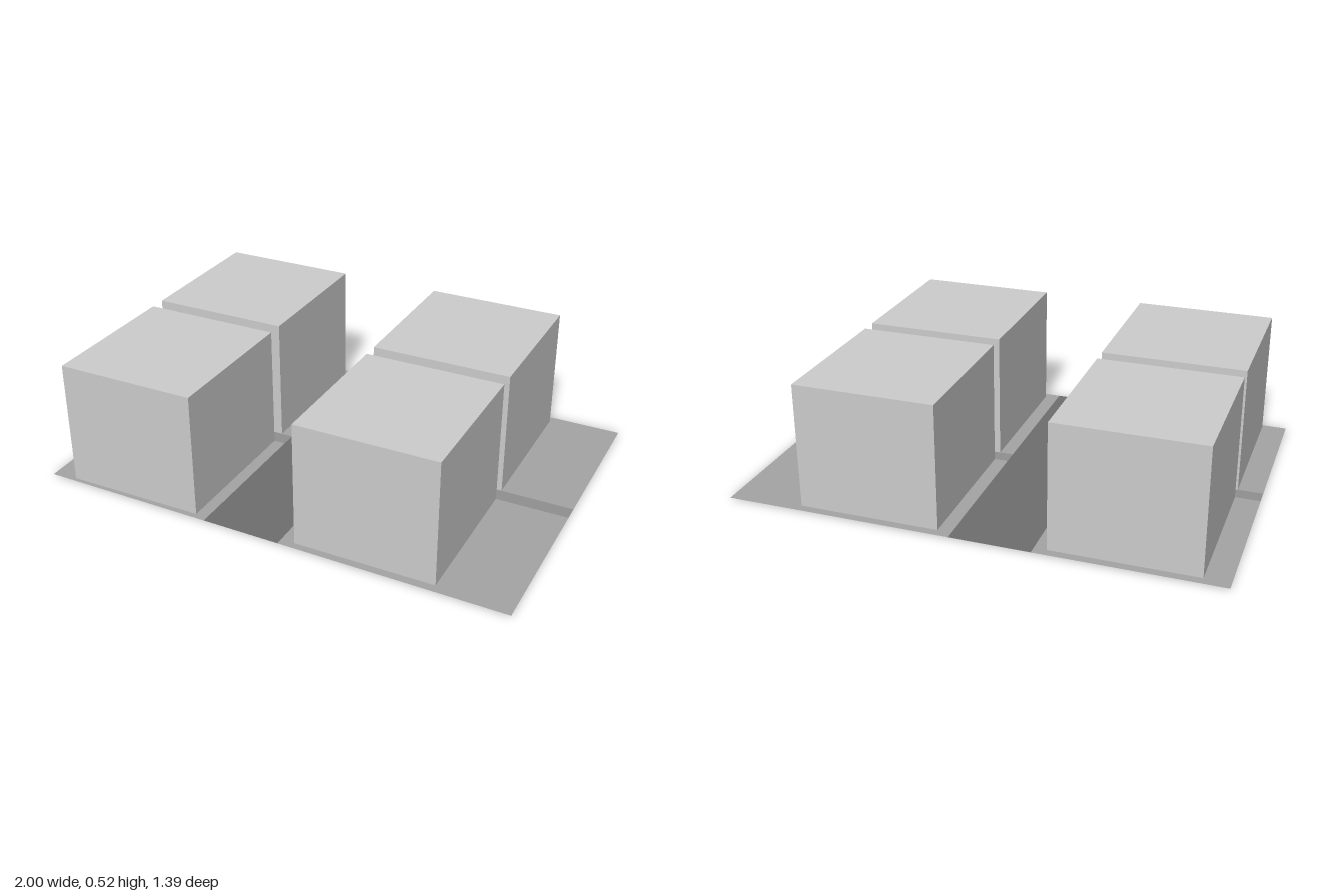
import * as THREE from 'three';

const mat = (color) => new THREE.MeshStandardMaterial({ color, side: THREE.DoubleSide });

// Front border of the site runs slightly askew
const frontEdge = (x) => 0.683 + 0.012 * x;

// Flat horizontal sheet; the front side may follow the skewed border
function sheet(name, x0, x1, z0, z1, y, material) {
  const zEnd = (x) => (z1 === null ? frontEdge(x) : z1);
  const shape = new THREE.Shape([
    new THREE.Vector2(x0, -z0),
    new THREE.Vector2(x0, -zEnd(x0)),
    new THREE.Vector2(x1, -zEnd(x1)),
    new THREE.Vector2(x1, -z0),
  ]);
  const mesh = new THREE.Mesh(new THREE.ShapeGeometry(shape).rotateX(-Math.PI / 2), material);
  mesh.position.y = y;
  mesh.name = name;
  return mesh;
}

export function createModel() {
  const group = new THREE.Group();
  group.name = 'cityBlock';
  const building = new THREE.MeshStandardMaterial({ color: 0xcccccc });
  const ground = mat(0xa4a4a4);
  const alley = mat(0x909090);
  const road = mat(0x6e6e6e);

  const sides = [
    { name: 'Right', lot: [-1, -0.265], block: [-0.898, -0.315] },
    { name: 'Left', lot: [0.065, 1], block: [0.122, 0.7] },
  ];
  const rows = [
    { name: 'back', lot: [-0.7, -0.036], block: [-0.664, -0.037] },
    { name: 'front', lot: [0.03, null], block: [0.029, 0.655] },
  ];
  const height = 0.525;

  for (const s of sides) {
    for (const r of rows) {
      // Lot paving
      group.add(sheet(r.name + s.name + 'Lot', ...s.lot, ...r.lot, 0.006, ground));
      // Building block
      const [x0, x1] = s.block;
      const [z0, z1] = r.block;
      const box = new THREE.Mesh(new THREE.BoxGeometry(x1 - x0, height, z1 - z0), building);
      box.position.set((x0 + x1) / 2, height / 2, (z0 + z1) / 2);
      box.name = r.name + s.name + 'Building';
      group.add(box);
    }
    // Alley between the two rows
    group.add(sheet('alley' + s.name, ...s.lot, -0.036, 0.03, 0.006, alley));
  }

  // Main road between the two sides
  group.add(sheet('road', -0.265, 0.065, -0.7, null, 0.006, road));
  return group;
}
